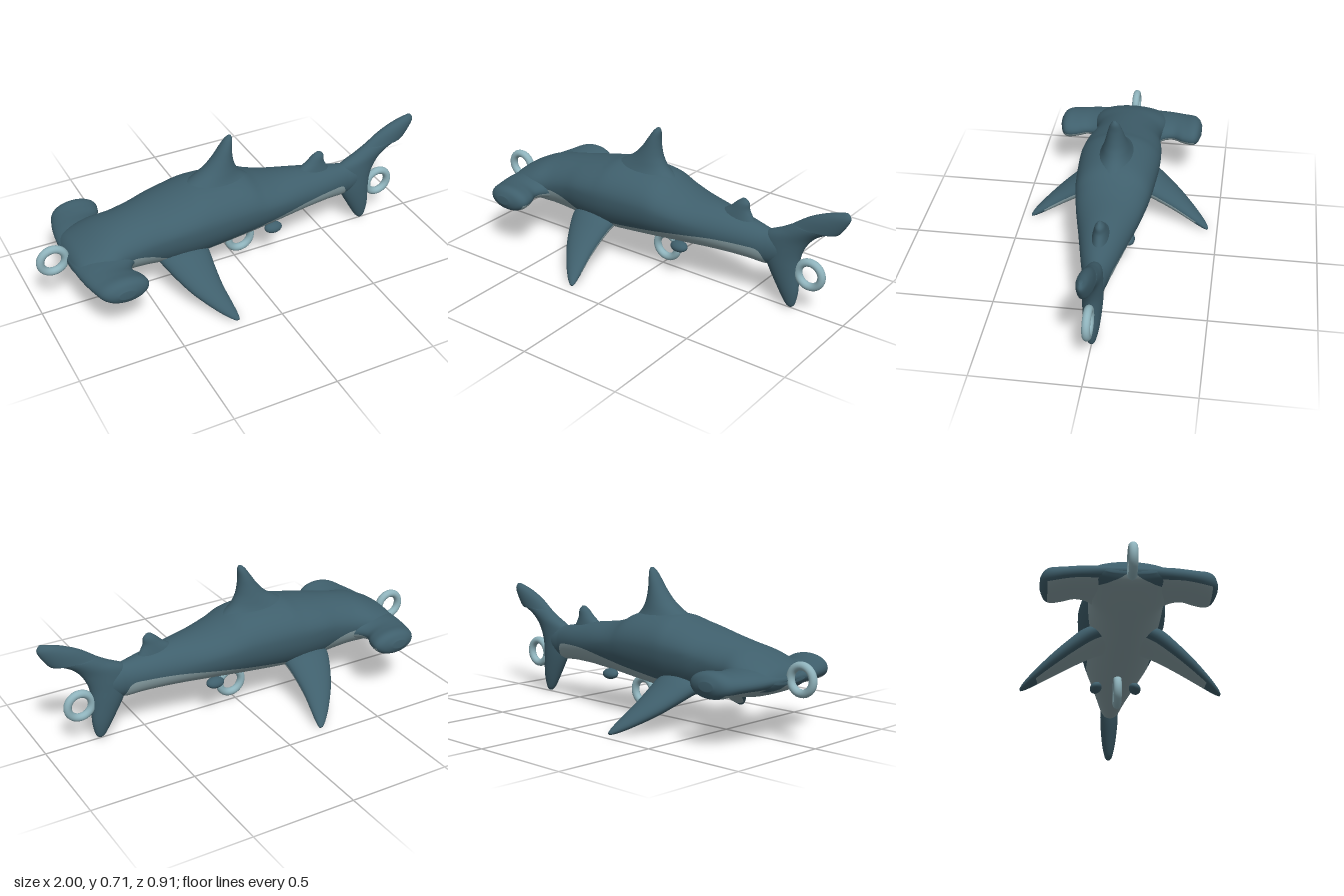
import * as THREE from 'three';

const skin = new THREE.MeshStandardMaterial({ color: 0x3f5f6c });
skin.name = 'slate skin';
const belly = new THREE.MeshStandardMaterial({ color: 0x8ba3a8 });
belly.name = 'pale belly';
const ringBlue = new THREE.MeshStandardMaterial({ color: 0x8fb3bc });
ringBlue.name = 'pale blue ring';

// Smoothly subdivide a table of section rows
function smooth(rows, steps = 6) {
  const out = [];
  const at = (i) => rows[Math.min(Math.max(i, 0), rows.length - 1)];
  for (let i = 0; i < rows.length - 1; i++) {
    for (let s = 0; s < steps; s++) {
      const t = s / steps;
      out.push(rows[i].map((b, k) => {
        const a = at(i - 1)[k], c = at(i + 1)[k], d = at(i + 2)[k];
        return 0.5 * (2 * b + (c - a) * t + (2 * a - 5 * b + 4 * c - d) * t * t
          + (3 * b - a - 3 * c + d) * t * t * t);
      }));
    }
  }
  out.push(rows[rows.length - 1]);
  return out;
}

// Skin closed rings of points; isPale(ring, column) picks the pale faces
function loft(name, rings, isPale = () => false) {
  const n = rings[0].length, m = rings.length;
  const pts = rings.flat();
  const faces = [[], []];
  for (let i = 0; i < m - 1; i++) {
    for (let j = 0; j < n; j++) {
      const k = (j + 1) % n;
      const a = i * n + j, b = i * n + k, c = a + n, d = b + n;
      faces[isPale(i, j) ? 1 : 0].push([a, b, d], [a, d, c]);
    }
  }
  // End caps
  for (const i of [0, m - 1]) {
    const centre = new THREE.Vector3();
    rings[i].forEach((p) => centre.addScaledVector(p, 1 / n));
    pts.push(centre);
    for (let j = 0; j < n; j++) {
      const a = i * n + j, b = i * n + (j + 1) % n;
      faces[isPale(i, j) ? 1 : 0].push(i ? [a, b, pts.length - 1] : [b, a, pts.length - 1]);
    }
  }
  // Turn faces outward using the signed volume
  const cross = new THREE.Vector3();
  let volume = 0;
  faces.flat().forEach(([a, b, c]) => {
    volume += cross.crossVectors(pts[a], pts[b]).dot(pts[c]);
  });
  if (volume < 0) faces.flat().forEach((f) => f.reverse());

  const geometry = new THREE.BufferGeometry().setFromPoints(pts);
  geometry.setIndex(faces.flat(2));
  geometry.addGroup(0, faces[0].length * 3, 0);
  geometry.addGroup(faces[0].length * 3, faces[1].length * 3, 1);
  geometry.computeVertexNormals();
  const mesh = new THREE.Mesh(geometry, [skin, belly]);
  mesh.name = name;
  return mesh;
}

// Points around a section, from a function of the angle
const around = (n, fn) => Array.from({ length: n }, (_, j) => fn((j / n) * Math.PI * 2));

// Upright fin from level sections: y, front x, rear x, half thickness
function uprightFin(name, rows) {
  return loft(name, smooth(rows).map(([y, x0, x1, t]) => around(28, (a) =>
    new THREE.Vector3((x0 + x1) / 2 + (x1 - x0) / 2 * Math.cos(a), y, t * Math.sin(a)))));
}

function makeBody() {
  // x, top, bottom, half width, height of widest point, top of the pale belly
  const rows = smooth([
    [-0.86, 0.288, 0.265, 0.10, 0.277, 0.265],
    [-0.84, 0.322, 0.238, 0.16, 0.28, 0.242],
    [-0.80, 0.352, 0.218, 0.185, 0.285, 0.238],
    [-0.70, 0.398, 0.187, 0.195, 0.295, 0.265],
    [-0.60, 0.425, 0.170, 0.170, 0.31, 0.295],
    [-0.50, 0.447, 0.158, 0.171, 0.33, 0.275],
    [-0.40, 0.468, 0.147, 0.188, 0.35, 0.225],
    [-0.30, 0.490, 0.143, 0.197, 0.36, 0.205],
    [-0.20, 0.510, 0.147, 0.198, 0.365, 0.215],
    [0.00, 0.500, 0.167, 0.185, 0.36, 0.242],
    [0.10, 0.460, 0.178, 0.170, 0.345, 0.258],
    [0.20, 0.432, 0.187, 0.150, 0.33, 0.272],
    [0.35, 0.412, 0.198, 0.115, 0.31, 0.288],
    [0.50, 0.385, 0.200, 0.082, 0.30, 0.288],
    [0.58, 0.370, 0.195, 0.063, 0.29, 0.275],
    [0.62, 0.365, 0.200, 0.054, 0.285, 0.202],
    [0.70, 0.350, 0.220, 0.040, 0.285, 0.220],
    [0.755, 0.310, 0.250, 0.020, 0.28, 0.250],
  ], 5);
  const up = 32, low = 20;
  const rings = rows.map(([x, top, bottom, w, yc, line]) => {
    const s = THREE.MathUtils.clamp((line - yc) / (yc - bottom), -0.998, 0.9);
    const edge = Math.asin(s);
    const points = [];
    for (let j = 0; j < up + low; j++) {
      const a = j < up
        ? edge + (Math.PI - 2 * edge) * (j / up)
        : Math.PI - edge + (Math.PI + 2 * edge) * ((j - up) / low);
      const h = Math.sin(a) > 0 ? top - yc : yc - bottom;
      points.push(new THREE.Vector3(x, yc + h * Math.sin(a), w * Math.cos(a)));
    }
    return points;
  });
  return loft('body', rings, (i, j) => j >= up);
}

function makeHammer() {
  // z, front x, rear x, half height
  const half = [
    [0.0, -0.862, -0.50, 0.058],
    [0.12, -0.858, -0.54, 0.057],
    [0.18, -0.852, -0.605, 0.054],
    [0.23, -0.844, -0.620, 0.052],
    [0.28, -0.832, -0.596, 0.055],
    [0.33, -0.815, -0.588, 0.060],
    [0.358, -0.788, -0.612, 0.048],
    [0.374, -0.745, -0.670, 0.020],
  ];
  const mirrored = half.slice(1).reverse().map(([z, ...rest]) => [-z, ...rest]);
  const rows = smooth([...mirrored, ...half]);
  const n = 36;
  const rings = rows.map(([z, x0, x1, h]) => around(n, (a) =>
    new THREE.Vector3((x0 + x1) / 2 + (x1 - x0) / 2 * Math.cos(a), 0.282 + h * Math.sin(a), z)));
  return loft('hammerHead', rings, (i, j) =>
    j > n * 0.56 && j < n * 0.97 && Math.abs(rows[i][0]) < 0.345);
}

function makePectoral(side) {
  // z, y, front x, rear x, half thickness
  const rows = smooth([
    [0.08, 0.215, -0.46, -0.20, 0.055],
    [0.15, 0.195, -0.44, -0.205, 0.058],
    [0.22, 0.155, -0.408, -0.21, 0.050],
    [0.30, 0.105, -0.36, -0.21, 0.040],
    [0.38, 0.055, -0.295, -0.20, 0.027],
    [0.43, 0.023, -0.245, -0.195, 0.016],
    [0.452, 0.008, -0.215, -0.197, 0.006],
  ]);
  const n = 32;
  const rings = rows.map(([z, y, x0, x1, t]) => around(n, (a) => {
    const off = t * Math.sin(a);
    return new THREE.Vector3((x0 + x1) / 2 + (x1 - x0) / 2 * Math.cos(a),
      y + 0.83 * off, side * (z + 0.55 * off));
  }));
  return loft(side > 0 ? 'frontPectoralFin' : 'backPectoralFin', rings, (i, j) =>
    j > n * 0.58 && j < n * 0.97 && rows[i][0] < 0.385);
}

export function createModel() {
  const model = new THREE.Group();
  model.name = 'hammerheadLure';
  model.add(makeBody(), makeHammer());

  model.add(uprightFin('dorsalFin', [
    [0.44, -0.36, 0.12, 0.11],
    [0.50, -0.25, 0.035, 0.078],
    [0.55, -0.168, 0.0, 0.060],
    [0.60, -0.118, -0.013, 0.046],
    [0.65, -0.082, -0.016, 0.034],
    [0.69, -0.054, -0.013, 0.021],
    [0.71, -0.034, -0.018, 0.007],
  ]));
  model.add(uprightFin('secondDorsalFin', [
    [0.36, 0.30, 0.53, 0.045],
    [0.40, 0.345, 0.505, 0.036],
    [0.43, 0.390, 0.49, 0.029],
    [0.46, 0.422, 0.488, 0.021],
    [0.48, 0.447, 0.472, 0.008],
  ]));
  model.add(uprightFin('tailFin', [
    [0.01, 0.718, 0.735, 0.008],
    [0.03, 0.697, 0.750, 0.020],
    [0.10, 0.655, 0.762, 0.035],
    [0.20, 0.600, 0.760, 0.045],
    [0.28, 0.570, 0.768, 0.046],
    [0.35, 0.575, 0.800, 0.043],
    [0.40, 0.665, 0.848, 0.040],
    [0.432, 0.718, 0.910, 0.038],
    [0.44, 0.728, 0.945, 0.037],
    [0.49, 0.800, 0.982, 0.033],
    [0.53, 0.885, 1.0, 0.024],
    [0.555, 0.965, 0.988, 0.008],
  ]));

  for (const side of [1, -1]) {
    model.add(makePectoral(side));
    // Small pelvic fins under the belly
    const pelvic = new THREE.Mesh(new THREE.SphereGeometry(1, 20, 14), skin);
    pelvic.name = side > 0 ? 'frontPelvicFin' : 'backPelvicFin';
    pelvic.scale.set(0.046, 0.024, 0.03);
    pelvic.position.set(0.165, 0.184, side * 0.095);
    pelvic.rotation.x = side * 0.5;
    model.add(pelvic);
  }

  // Line and hook rings
  const ringGeometry = new THREE.TorusGeometry(0.06, 0.019, 16, 40);
  [['noseRing', -0.921, 0.29], ['bellyRing', 0.028, 0.107], ['tailRing', 0.818, 0.204]]
    .forEach(([name, x, y]) => {
      const ring = new THREE.Mesh(ringGeometry, ringBlue);
      ring.name = name;
      ring.position.set(x, y, 0);
      model.add(ring);
    });
  return model;
}
